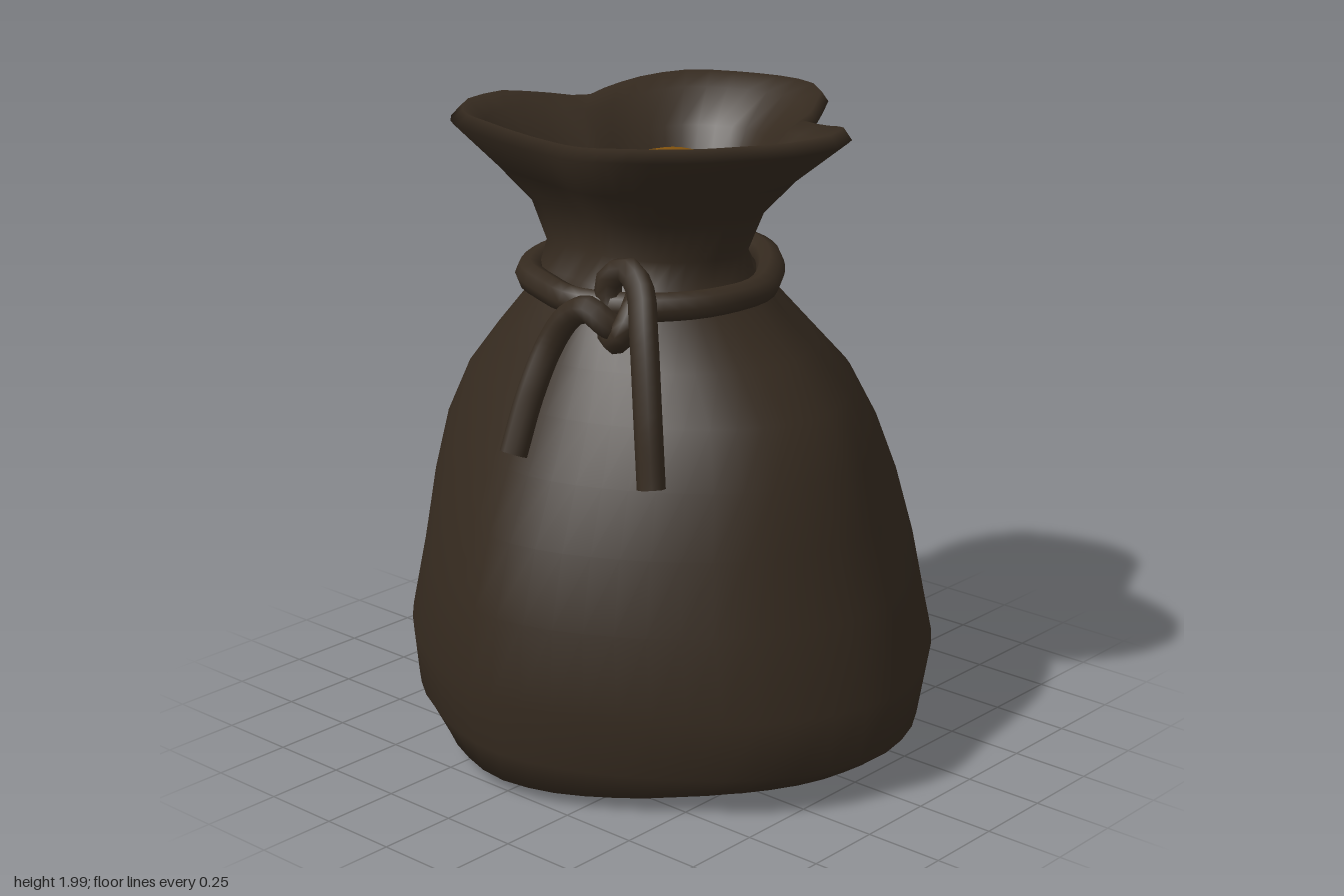
import * as THREE from 'three';

const SIDES = 48;

// Outlines seen from above, as [x, z] corners
const BASE = [[0.89, 0.02], [0.85, 0.2], [0.75, 0.38], [0.57, 0.55], [0.35, 0.69], [0.14, 0.78], [-0.04, 0.81],
  [-0.22, 0.77], [-0.4, 0.69], [-0.62, 0.54], [-0.78, 0.38], [-0.87, 0.2], [-0.89, 0.02], [-0.87, -0.14], [-0.8, -0.3],
  [-0.6, -0.47], [-0.37, -0.6], [-0.15, -0.74], [0.08, -0.82], [0.28, -0.81], [0.45, -0.72], [0.6, -0.56],
  [0.75, -0.36], [0.85, -0.17]];
const NECK = [[0.35, 0.05], [0.33, 0.14], [0.25, 0.24], [0.1, 0.3], [-0.1, 0.29], [-0.28, 0.28], [-0.33, 0.2],
  [-0.28, 0], [-0.25, -0.15], [-0.2, -0.27], [-0.1, -0.34], [0, -0.32], [0.09, -0.23], [0.2, -0.12], [0.31, -0.04]];
const RIM = [[0.64, 0], [0.62, 0.16], [0.53, 0.32], [0.4, 0.45], [0.27, 0.53], [0.1, 0.5], [-0.05, 0.465],
  [-0.2, 0.51], [-0.36, 0.53], [-0.5, 0.44], [-0.58, 0.33], [-0.6, 0.18], [-0.47, -0.1], [-0.46, -0.36],
  [-0.36, -0.53], [-0.2, -0.6], [-0.03, -0.63], [0.13, -0.59], [0.21, -0.44], [0.28, -0.29], [0.45, -0.24], [0.58, -0.14]];

// Turn an outline into radii at evenly spaced angles, with a reach of about 1
function radii(outline) {
  const turn = Math.PI * 2;
  const pts = outline.map(([x, z]) => [(Math.atan2(z, x) + turn) % turn, Math.hypot(x, z) / outline[0][0]]);
  pts.sort((a, b) => a[0] - b[0]);
  const first = pts[0], last = pts[pts.length - 1];
  pts.unshift([last[0] - turn, last[1]]);
  pts.push([first[0] + turn, first[1]]);
  return Array.from({ length: SIDES }, (_, j) => {
    const a = (j / SIDES) * turn;
    const k = pts.findIndex((p) => p[0] > a);
    const [p, q] = [pts[k - 1], pts[k]];
    return p[1] + ((q[1] - p[1]) * (a - p[0])) / (q[0] - p[0]);
  });
}
const SHAPES = [BASE, NECK, RIM].map(radii);

// One ring: height, extents in x and z, and a blend (0 base, 1 neck, 2 rim)
function ring([y, x0, x1, z0, z1, blend]) {
  const k = Math.min(1, Math.floor(blend)), t = blend - k;
  const pts = SHAPES[k].map((r, j) => {
    const rad = THREE.MathUtils.lerp(r, SHAPES[k + 1][j], t);
    const a = (j / SIDES) * Math.PI * 2;
    const dip = k * t * 0.045 * THREE.MathUtils.clamp((0.97 - SHAPES[2][j]) / 0.23, 0, 1);
    const wave = y < 0.1 ? 0.014 * Math.sin(3 * a + 0.6) : 0;
    return new THREE.Vector3(rad * Math.cos(a), y - dip + wave, rad * Math.sin(a));
  });
  const box = new THREE.Box3().setFromPoints(pts);
  pts.forEach((p) => {
    p.x *= p.x > 0 ? x1 / box.max.x : x0 / box.min.x;
    p.z *= p.z > 0 ? z1 / box.max.z : z0 / box.min.z;
  });
  return pts;
}

// Smooth skin through a stack of rings
function loft(rings) {
  const positions = [], index = [];
  rings.flat().forEach((p) => positions.push(p.x, p.y, p.z));
  for (let i = 0; i < rings.length - 1; i++) {
    for (let j = 0; j < SIDES; j++) {
      const a = i * SIDES + j, b = i * SIDES + ((j + 1) % SIDES);
      index.push(a, a + SIDES, b, b, a + SIDES, b + SIDES);
    }
  }
  const geo = new THREE.BufferGeometry();
  geo.setAttribute('position', new THREE.Float32BufferAttribute(positions, 3));
  geo.setIndex(index);
  geo.computeVertexNormals();
  return geo;
}

export function createModel() {
  const model = new THREE.Group();
  const cloth = new THREE.MeshStandardMaterial({ color: 0x352a1f });
  cloth.name = 'dark brown cloth';
  const gold = new THREE.MeshStandardMaterial({ color: 0x84540e });
  gold.name = 'gold';

  const add = (name, geo, mat, parent = model) => {
    const mesh = new THREE.Mesh(geo, mat);
    mesh.name = name;
    parent.add(mesh);
    return mesh;
  };

  // Sack: underside, bulging body, neck, flared rim, then the inner wall
  const underside = ring([0.035, -0.4, 0.4, -0.35, 0.38, 0]);
  const centre = underside.map(() => new THREE.Vector3(0, 0.04, 0));
  add('sack', loft([centre, underside, ...[
    [0.02, -0.68, 0.71, -0.6, 0.64, 0],
    [0.06, -0.77, 0.77, -0.69, 0.77, 0],
    [0.14, -0.885, 0.865, -0.76, 0.785, 0],
    [0.33, -0.89, 0.89, -0.82, 0.815, 0],
    [0.58, -0.82, 0.81, -0.8, 0.785, 0.02],
    [0.8, -0.79, 0.755, -0.74, 0.72, 0.05],
    [0.99, -0.75, 0.7, -0.665, 0.64, 0.1],
    [1.16, -0.67, 0.62, -0.575, 0.56, 0.15],
    [1.3, -0.54, 0.49, -0.46, 0.49, 0.25],
    [1.44, -0.4, 0.36, -0.35, 0.42, 0.4],
    [1.52, -0.335, 0.32, -0.31, 0.36, 0.7],
    [1.6, -0.31, 0.31, -0.3, 0.31, 1],
    [1.72, -0.355, 0.365, -0.36, 0.335, 1.15],
    [1.83, -0.45, 0.47, -0.46, 0.42, 1.6],
    [1.965, -0.6, 0.64, -0.63, 0.535, 2],
    [2.0, -0.57, 0.61, -0.6, 0.505, 2],
    [1.96, -0.5, 0.54, -0.53, 0.45, 1.9],
    [1.86, -0.4, 0.42, -0.41, 0.37, 1.5],
    [1.72, -0.335, 0.352, -0.345, 0.305, 1.05],
    [1.6, -0.29, 0.29, -0.28, 0.29, 1],
  ].map(ring)]), cloth);

  // Gold heap: the neck outline filled with a smooth dome
  const heap = [1, 0.8, 0.6, 0.4, 0.2, 0].map((s) =>
    ring([0, -0.33, 0.348, -0.34, 0.3, 1]).map(({ x, z }) =>
      new THREE.Vector3(x * s, 1.87 - 1.5 * s * s * (x * x + z * z), z * s)));
  add('goldHeap', loft([ring([1.6, -0.3, 0.3, -0.29, 0.3, 1]), ...heap]), gold);

  // Drawstring: a loop round the neck, a small knot and two hanging ends
  const cord = new THREE.Group();
  cord.name = 'drawstring';
  model.add(cord);

  const loop = ring([1.505, -0.37, 0.345, -0.335, 0.44, 0.35]).filter((_, j) => j % 3 === 0);
  loop.forEach((p) => { p.y -= 0.04 * (p.x + p.z); });
  add('neckLoop', new THREE.TubeGeometry(new THREE.CatmullRomCurve3(loop, true), 48, 0.045, 8, true), cloth, cord);

  const strand = (name, points) => {
    const curve = new THREE.CatmullRomCurve3(points.map((p) => new THREE.Vector3(...p)));
    const group = new THREE.Group();
    group.name = name;
    cord.add(group);
    add(name + 'Cord', new THREE.TubeGeometry(curve, 28, 0.042, 8), cloth, group);
    [0, 1].forEach((t) => {
      const cap = add(name + 'Tip', new THREE.CircleGeometry(0.042, 8), cloth, group);
      const out = curve.getTangent(t).multiplyScalar(t ? 1 : -1);
      cap.position.copy(curve.getPoint(t));
      cap.quaternion.setFromUnitVectors(new THREE.Vector3(0, 0, 1), out);
    });
  };
  strand('rightEnd', [[-0.05, 1.05, 0.65], [-0.045, 1.22, 0.58], [-0.02, 1.37, 0.515], [0.04, 1.46, 0.495],
    [0.11, 1.49, 0.49], [0.17, 1.45, 0.47], [0.19, 1.42, 0.41], [0.18, 1.45, 0.35]]);
  strand('leftEnd', [[0.41, 1.02, 0.55], [0.37, 1.22, 0.52], [0.3, 1.45, 0.46], [0.24, 1.56, 0.41], [0.17, 1.6, 0.39],
    [0.11, 1.56, 0.4], [0.12, 1.46, 0.41], [0.16, 1.4, 0.44], [0.21, 1.42, 0.46], [0.23, 1.49, 0.43], [0.2, 1.54, 0.36]]);

  return model;
}
